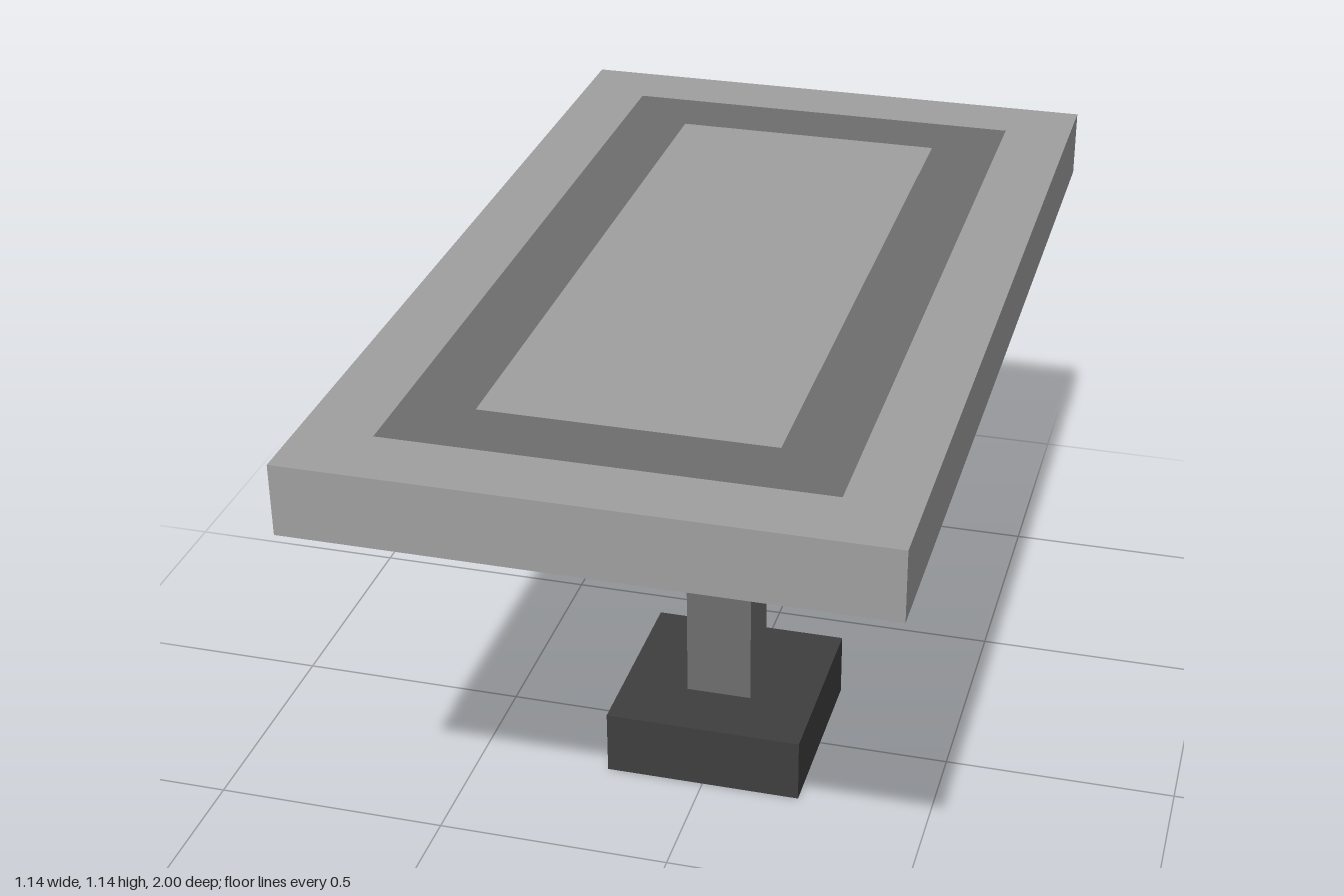
import * as THREE from 'three';

const U = 1 / 7; // module size: every part is a whole number of these

const material = (color) => new THREE.MeshStandardMaterial({ color });

function block(name, w, h, d, bottom, mat) {
  const mesh = new THREE.Mesh(new THREE.BoxGeometry(w * U, h * U, d * U), mat);
  mesh.name = name;
  mesh.position.y = (bottom + h / 2) * U;
  return mesh;
}

// Closed rectangle centred on the origin
function rectangle(PathType, w, d) {
  const x = (w * U) / 2, y = (d * U) / 2;
  return new PathType([
    new THREE.Vector2(-x, -y), new THREE.Vector2(x, -y),
    new THREE.Vector2(x, y), new THREE.Vector2(-x, y),
  ]);
}

export function createModel() {
  const light = material(0xa0a0a0);
  const mid = material(0x6e6e6e);
  const dark = material(0x3f3f3f);

  const table = new THREE.Group();
  table.name = 'pedestalTable';

  // Foot, column and slab stacked on one axis
  table.add(
    block('base', 3, 1, 3, 0, dark),
    block('column', 1, 6, 1, 1, mid),
    block('tableTop', 8, 1, 14, 7, light),
  );

  // Darker band inlaid in the top, a hair proud of the slab
  const band = rectangle(THREE.Shape, 6, 12);
  band.holes.push(rectangle(THREE.Path, 4, 10));
  const inlay = new THREE.Mesh(new THREE.ShapeGeometry(band), mid);
  inlay.name = 'inlayBand';
  inlay.rotation.x = -Math.PI / 2;
  inlay.position.y = 8 * U + 0.001;
  table.add(inlay);

  return table;
}
